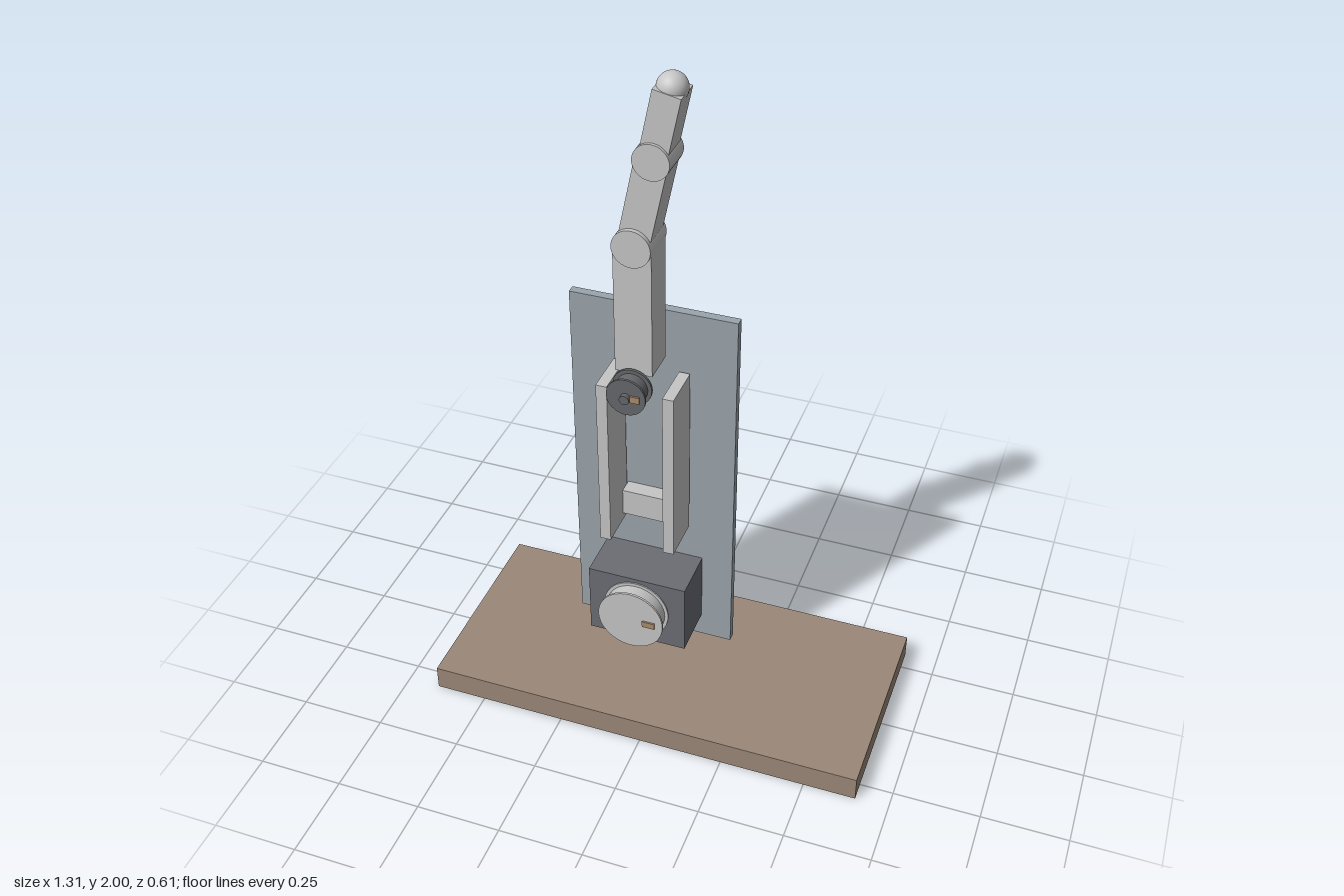
import * as THREE from 'three';

const mat = (name, color) => {
  const m = new THREE.MeshStandardMaterial({ color });
  m.name = name;
  return m;
};

export function createModel() {
  const model = new THREE.Group();
  model.name = 'fingerTestRig';
  const wood = mat('wood', 0x9b8878);
  const panel = mat('blueGreyPanel', 0x9aa4ac);
  const light = mat('lightPlastic', 0xc6c6c6);
  const dark = mat('darkCasing', 0x6c6d74);
  const metal = mat('darkMetal', 0x66676b);
  const tan = mat('tanMarker', 0xa98a6c);

  const add = (name, geometry, material, x, y, z, parent = model) => {
    const mesh = new THREE.Mesh(geometry, material);
    mesh.name = name;
    mesh.position.set(x, y, z);
    parent.add(mesh);
    return mesh;
  };
  // Box given by its minimum and maximum corners
  const box = (name, material, [x0, y0, z0], [x1, y1, z1]) =>
    add(name, new THREE.BoxGeometry(x1 - x0, y1 - y0, z1 - z0), material,
      (x0 + x1) / 2, (y0 + y1) / 2, (z0 + z1) / 2);
  // Cylinder along z from z0 to z1
  const disc = (name, material, x, y, r, z0, z1) =>
    add(name, new THREE.CylinderGeometry(r, r, z1 - z0, 40).rotateX(Math.PI / 2),
      material, x, y, (z0 + z1) / 2);

  const cx = -0.09; // centre line of the mechanism

  // Base, upright panel and motor
  box('base', wood, [-0.653, 0, -0.305], [0.653, 0.075, 0.305]);
  box('backPanel', panel, [-0.333, 0.11, -0.102], [0.153, 1.26, -0.076]);
  box('motor', dark, [-0.238, 0.185, -0.076], [0.06, 0.413, 0.08]);

  // Guide rails and the slider block between them
  for (const side of [-1, 1]) {
    const x = cx + side * 0.096;
    box(side < 0 ? 'rightRail' : 'leftRail', light,
      [x - 0.016, 0.535, -0.065], [x + 0.016, 1.075, 0.07]);
  }
  box('sliderBlock', light, [cx - 0.08, 0.558, -0.076], [cx + 0.08, 0.642, -0.03]);

  // Spools: a core between two flanges, with a painted marker
  const spool = (name, material, y, core, flange, markerX, markerW) => {
    disc(name + 'Core', material, cx, y, core, 0.08, 0.13);
    disc(name + 'BackFlange', material, cx, y, flange, 0.076, 0.084);
    disc(name + 'FrontFlange', material, cx, y, flange, 0.126, 0.133);
    box(name + 'Marker', tan, [markerX, y - 0.01, 0.132], [markerX + markerW, y + 0.01, 0.138]);
  };
  spool('motorSpool', light, 0.3, 0.09, 0.1, -0.052, 0.038);
  spool('pulley', metal, 1.102, 0.045, 0.056, -0.077, 0.027);
  disc('pulleyShaft', metal, cx, 1.102, 0.014, -0.076, 0.147);

  // Finger: three tapering links with hinge barrels and a round tip
  const fz = 0.019;
  const link = (name, [x0, y0], [x1, y1], width, depth) => {
    const mesh = add(name, new THREE.BoxGeometry(width, Math.hypot(x1 - x0, y1 - y0), depth),
      light, (x0 + x1) / 2, (y0 + y1) / 2, fz);
    mesh.rotation.z = -Math.atan2(x1 - x0, y1 - y0);
  };
  const knuckle = [cx, 1.525], middle = [-0.037, 1.775], tip = [0.002, 1.959];
  link('lowerLink', [cx, 1.14], [cx, 1.535], 0.106, 0.104);
  link('middleLink', knuckle, middle, 0.088, 0.094);
  link('upperLink', middle, tip, 0.076, 0.086);
  disc('lowerHinge', light, ...knuckle, 0.054, fz - 0.06, fz + 0.06);
  disc('middleHinge', light, ...middle, 0.05, fz - 0.052, fz + 0.052);
  add('fingertip', new THREE.SphereGeometry(0.041, 32, 20), light, ...tip, fz);

  return model;
}
